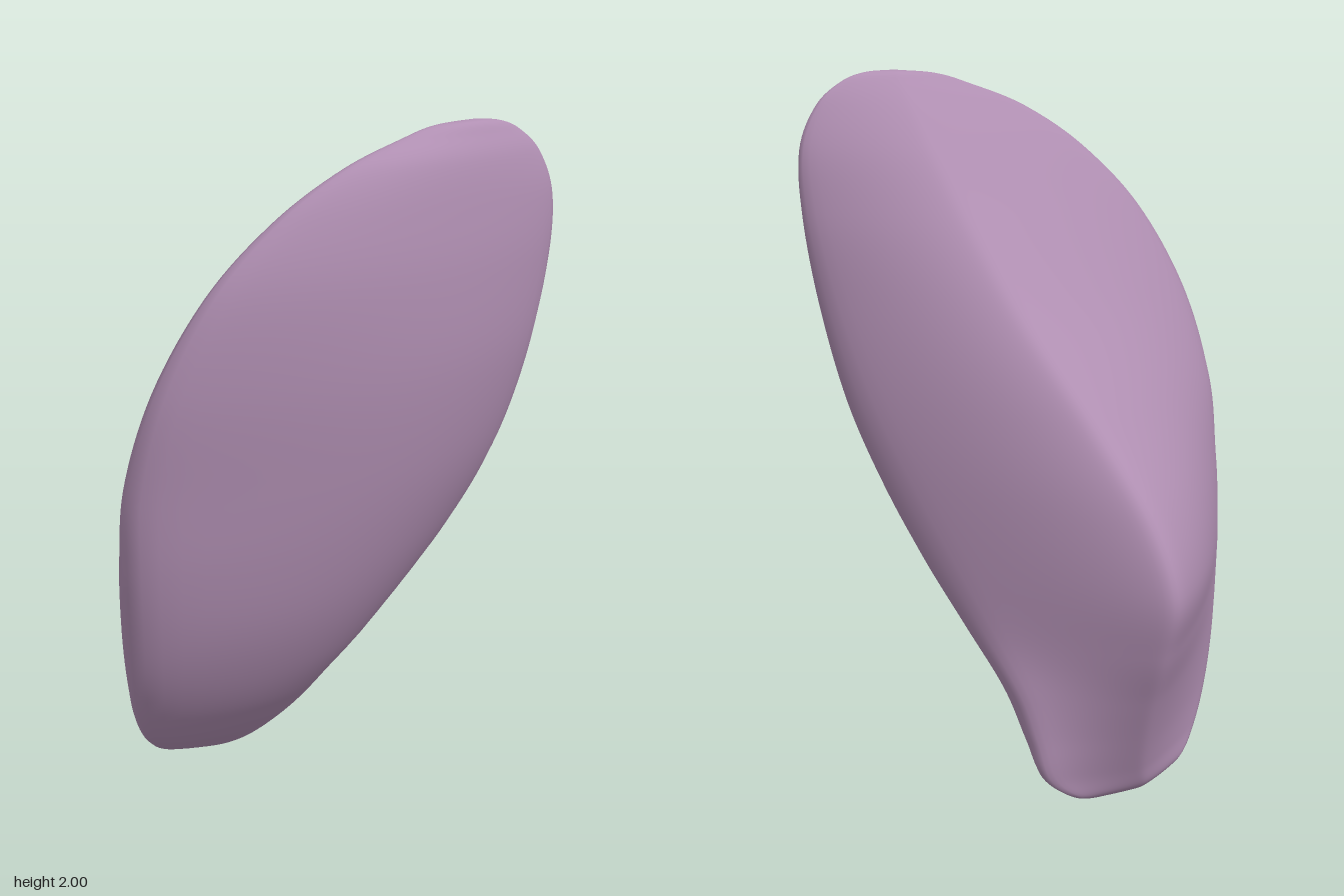
import * as THREE from 'three';

// Each row is one section from bottom to top: height, then x, z of
// the ridge, the front rim, the back rim and the middle of the plate.
const SECTIONS = [
  [0.035, -0.345, -0.12, -0.275, 0.11, -0.265, -0.33, -0.165, -0.09],
  [0.1, -0.37, -0.15, -0.22, 0.235, -0.225, -0.405, -0.09, -0.08],
  [0.2, -0.41, -0.18, -0.155, 0.35, -0.19, -0.425, 0.015, -0.06],
  [0.33, -0.465, -0.21, -0.095, 0.44, -0.12, -0.435, 0.13, -0.03],
  [0.48, -0.53, -0.235, -0.04, 0.505, 0.02, -0.45, 0.235, -0.01],
  [0.65, -0.57, -0.245, 0, 0.548, 0.17, -0.475, 0.32, 0.02],
  [0.85, -0.49, -0.255, 0.03, 0.58, 0.31, -0.505, 0.39, 0.035],
  [1.08, -0.3, -0.27, 0.055, 0.592, 0.43, -0.535, 0.445, 0.05],
  [1.35, -0.05, -0.29, 0.125, 0.558, 0.515, -0.558, 0.49, 0.05],
  [1.6, 0.15, -0.3, 0.215, 0.455, 0.55, -0.58, 0.51, 0.02],
  [1.78, 0.28, -0.31, 0.3, 0.3, 0.553, -0.578, 0.515, -0.05],
  [1.9, 0.365, -0.31, 0.375, 0.125, 0.535, -0.53, 0.515, -0.14],
  [1.965, 0.415, -0.31, 0.42, -0.06, 0.51, -0.46, 0.498, -0.22],
];
const BOTTOM = new THREE.Vector3(-0.28, 0, -0.1);
const TOP = new THREE.Vector3(0.47, 2, -0.3);
const SIDE = 24; // points along each of the three sides
const ROWS = 128;

// Extra point that rounds a rail off as it runs into a pole
const shoulder = (pole, p) => new THREE.Vector3(
  THREE.MathUtils.lerp(pole.x, p.x, 0.55),
  THREE.MathUtils.lerp(pole.y, p.y, 0.23),
  THREE.MathUtils.lerp(pole.z, p.z, 0.55));

// Smooth lengthwise rail from pole to pole through one column pair
function rail(c) {
  const points = SECTIONS.map((s) => new THREE.Vector3(s[c], s[0], s[c + 1]));
  return new THREE.CatmullRomCurve3([
    BOTTOM, shoulder(BOTTOM, points[0]), ...points, shoulder(TOP, points.at(-1)), TOP,
  ], false, 'catmullrom', 0.5);
}

// Three-sided loop with its corners softened by averaging neighbours
function softLoop(ridge, front, back, plate) {
  const centre = ridge.clone().add(front).add(back).divideScalar(3);
  // flanks are fullest beside the ridge
  const flank = (rim, t, push) => ridge.clone().lerp(rim, t).lerp(centre, -push);
  const bulge = plate.clone().multiplyScalar(2).sub(front.clone().lerp(back, 0.5));
  const sides = [
    new THREE.QuadraticBezierCurve3(ridge, flank(front, 0.3, 0.28), front),
    new THREE.QuadraticBezierCurve3(front, bulge, back),
    new THREE.QuadraticBezierCurve3(back, flank(back, 0.2, 0.2), ridge),
  ];
  let loop = sides.flatMap((s) => s.getPoints(SIDE).slice(0, SIDE));
  const n = loop.length;
  for (let pass = 0; pass < 6; pass++) {
    loop = loop.map((p, i) => p.clone().multiplyScalar(2)
      .add(loop[(i + 1) % n]).add(loop[(i + n - 1) % n]).divideScalar(4));
  }
  return loop;
}

function section(corners, plate) {
  // push the corners out by what the softening takes away
  const soft = softLoop(...corners, plate);
  const pushed = corners.map((c, i) => c.clone().multiplyScalar(2).sub(soft[i * SIDE]));
  return softLoop(...pushed, plate);
}

function createShell() {
  const rails = [1, 3, 5].map(rail);
  const plateRail = rail(7);
  const n = SIDE * 3;
  const positions = [];
  const index = [];
  // bottom pole, rings, top pole
  positions.push(...BOTTOM.toArray());
  for (let r = 1; r < ROWS; r++) {
    const u = r / ROWS;
    const loop = section(rails.map((c) => c.getPoint(u)), plateRail.getPoint(u));
    loop.forEach((p) => positions.push(p.x, p.y, p.z));
  }
  positions.push(...TOP.toArray());
  const top = positions.length / 3 - 1;
  const at = (r, j) => 1 + (r - 1) * n + (j % n);
  for (let j = 0; j < n; j++) {
    index.push(0, at(1, j + 1), at(1, j));
    for (let r = 1; r < ROWS - 1; r++) {
      index.push(at(r, j), at(r, j + 1), at(r + 1, j + 1));
      index.push(at(r, j), at(r + 1, j + 1), at(r + 1, j));
    }
    index.push(at(ROWS - 1, j), at(ROWS - 1, j + 1), top);
  }
  const geometry = new THREE.BufferGeometry();
  geometry.setAttribute('position', new THREE.Float32BufferAttribute(positions, 3));
  geometry.setIndex(index);
  geometry.computeVertexNormals();
  return geometry;
}

export function createModel() {
  const mauve = new THREE.MeshStandardMaterial({ color: 0xb08fb2 });
  mauve.name = 'mauve';
  const group = new THREE.Group();
  group.name = 'keeledPebble';
  const body = new THREE.Mesh(createShell(), mauve);
  body.name = 'keeledBody';
  group.add(body);
  return group;
}
